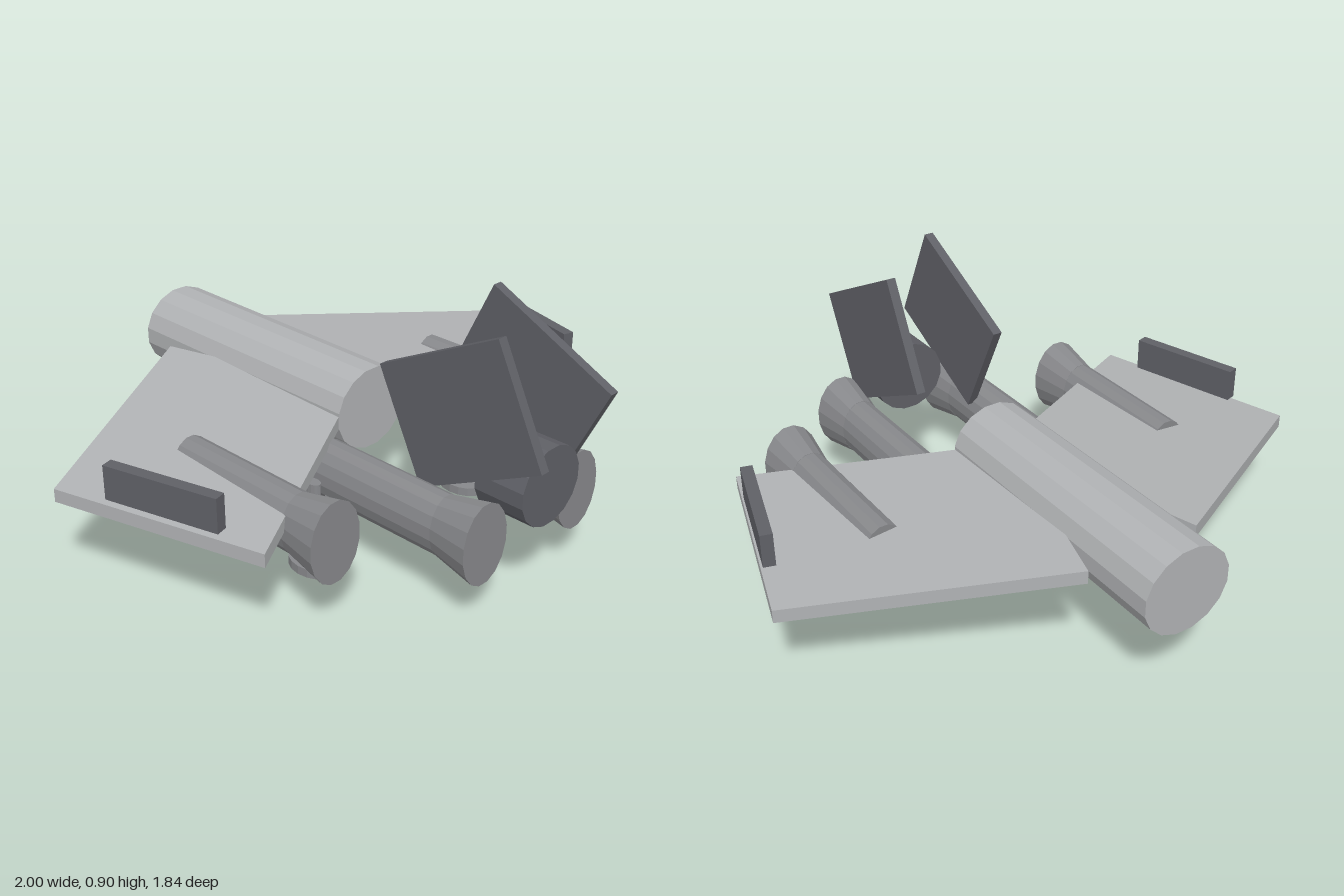
import * as THREE from 'three';

const mat = (name, color) => {
  const m = new THREE.MeshStandardMaterial({ color, flatShading: true });
  m.name = name;
  return m;
};

export function createModel() {
  const hull = mat('light hull grey', 0xb0b2b4);
  const engineGrey = mat('engine grey', 0x87888b);
  const dark = mat('dark panel grey', 0x5f6066);
  const model = new THREE.Group();
  model.name = 'aircraft';

  const add = (name, geometry, material, x, y, z, parent = model) => {
    const mesh = new THREE.Mesh(geometry, material);
    mesh.name = name;
    mesh.position.set(x, y, z);
    parent.add(mesh);
    return mesh;
  };

  // Faceted oval tube along z, with front and back radii and a height ratio
  const tube = (front, back, length, ratio) =>
    new THREE.CylinderGeometry(front, back, length, 16)
      .rotateY(Math.PI / 16).rotateX(Math.PI / 2).scale(1, ratio, 1);

  // Upright oval post
  const post = (rx, height, rz) =>
    new THREE.CylinderGeometry(1, 1, height, 16).scale(rx, 1, rz);

  // Fuselage and central nozzle
  add('fuselage', tube(0.154, 0.158, 1.01, 0.93), hull, 0, 0.403, -0.415);
  add('centralNozzle', tube(0.137, 0.137, 0.18, 0.95), dark, 0, 0.403, 0.738);

  // Swept, drooping slab: a box sheared into a parallelogram
  const wingGeometry = (s) => {
    const g = new THREE.BoxGeometry(1, 0.045, 1);
    const p = g.attributes.position;
    for (let i = 0; i < p.count; i++) {
      const u = s * p.getX(i) + 0.5;
      const w = p.getZ(i) + 0.5;
      p.setXYZ(i,
        s * (0.205 + 0.795 * u - 0.21 * w),
        p.getY(i) + 0.413 - 0.083 * u,
        -0.72 + 0.445 * u + 0.72 * w);
    }
    g.computeVertexNormals();
    return g;
  };

  // Engine body with a flared exhaust, placed by its front end
  const engine = (name, x, y, z) => {
    const group = new THREE.Group();
    group.name = name;
    group.position.set(x, y, z);
    model.add(group);
    add('engineBody', tube(0.076, 0.076, 0.505, 1.36), engineGrey, 0, 0, -0.4025, group);
    add('engineExhaust', tube(0.1, 0.076, 0.15, 1.38), engineGrey, 0, 0, -0.075, group);
  };

  for (const s of [-1, 1]) {
    const side = s > 0 ? 'left' : 'right';
    add(side + 'Wing', wingGeometry(s), hull, 0, 0, 0);

    // Upright block near the wing tip, aligned with the tip edge
    const block = add(side + 'TipBlock', new THREE.BoxGeometry(0.04, 0.115, 0.4), dark,
      s * 0.866, 0.425, 0.095);
    block.rotation.y = -s * 0.28;

    engine(side + 'OuterEngine', s * 0.565, 0.311, 0.495);
    engine(side + 'InnerEngine', s * 0.225, 0.275, 0.77);

    // Tail fins pitch in opposite directions
    const fin = add(side + 'TailFin', new THREE.BoxGeometry(0.033, 0.4, 0.5), dark,
      s * 0.157, 0.613, 0.603);
    fin.rotation.x = s * 0.455;

    // Landing leg, foot and leaning brace
    add(side + 'LegStrut', post(0.02, 0.29, 0.032), engineGrey, s * 0.366, 0.165, 0.19);
    add(side + 'LegFoot', post(0.07, 0.03, 0.094), engineGrey, s * 0.366, 0.015, 0.19);
    const brace = add(side + 'LegBrace', new THREE.BoxGeometry(0.018, 0.26, 0.05), engineGrey,
      s > 0 ? 0.322 : -0.28, 0.217, 0.19);
    brace.rotation.z = -0.25;
  }
  return model;
}
